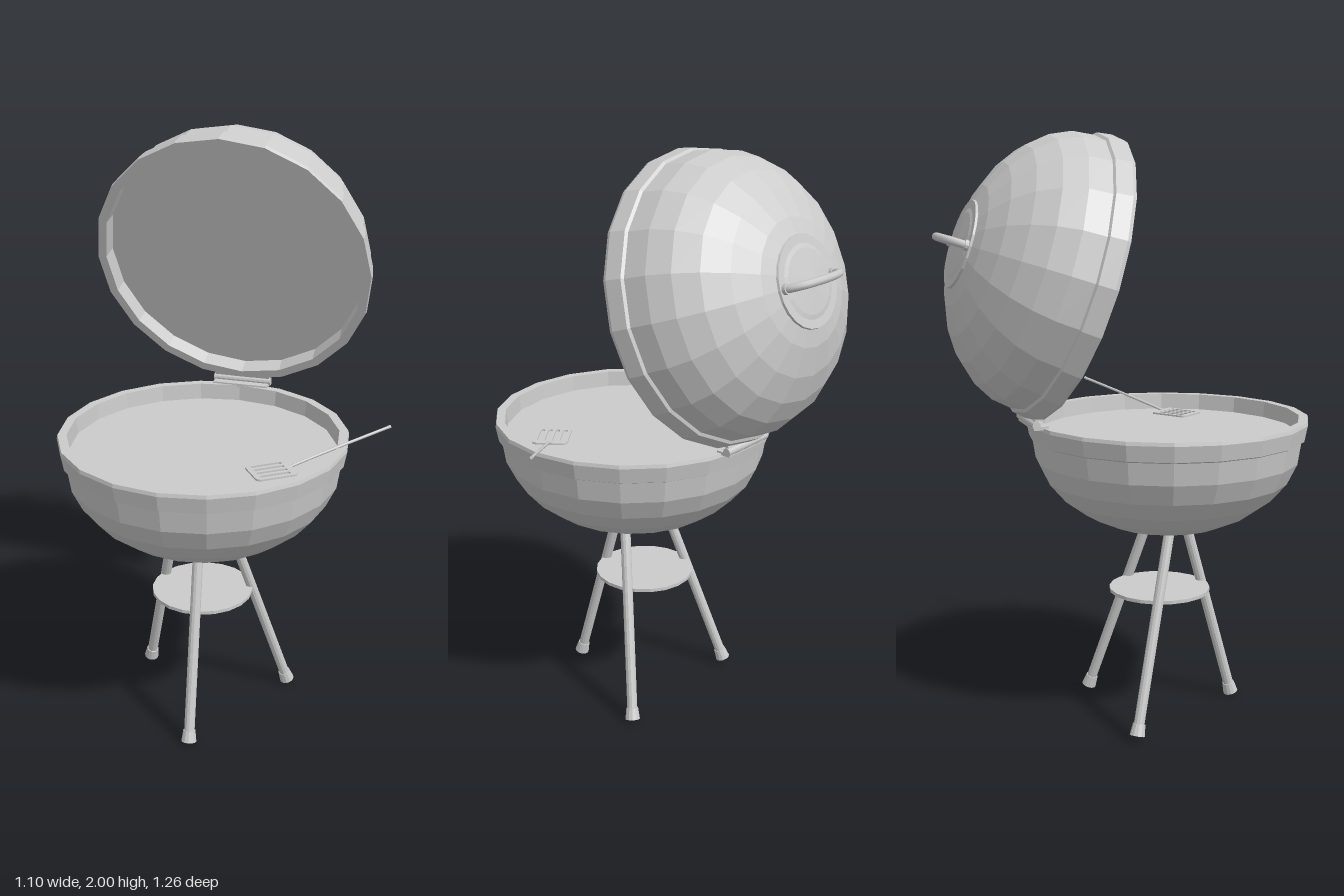
import * as THREE from 'three';

const grey = new THREE.MeshStandardMaterial({ color: 0xcccccc, flatShading: true });
const smooth = new THREE.MeshStandardMaterial({ color: 0xcccccc });
const V = (x, y, z) => new THREE.Vector3(x, y, z);

function part(parent, name, geometry, material = grey) {
  const mesh = new THREE.Mesh(geometry, material);
  mesh.name = name;
  parent.add(mesh);
  return mesh;
}

// Cylinder running between two points
function rod(parent, name, a, b, ra, rb, sides = 12) {
  const mesh = part(parent, name, new THREE.CylinderGeometry(rb, ra, a.distanceTo(b), sides));
  mesh.position.copy(a).lerp(b, 0.5);
  mesh.quaternion.setFromUnitVectors(V(0, 1, 0), b.clone().sub(a).normalize());
  return mesh;
}

// Half shell hanging below its rim, with a stepped band and a recessed inner disc
function shellGeometry() {
  const pts = [];
  const rings = 7;
  for (let i = 0; i <= rings; i++) {
    const a = (i / rings) * Math.PI / 2;
    pts.push(new THREE.Vector2(0.465 * Math.sin(a), -0.07 - 0.335 * Math.cos(a)));
  }
  for (const [r, y] of [[0.475, -0.065], [0.485, -0.012], [0.482, 0], [0.452, 0], [0.447, -0.055], [0, -0.055]]) {
    pts.push(new THREE.Vector2(r, y));
  }
  return new THREE.LatheGeometry(pts, 20);
}

function roundedRect(path, x, y, w, h, r) {
  path.moveTo(x + r, y);
  path.lineTo(x + w - r, y);
  path.absarc(x + w - r, y + r, r, -Math.PI / 2, 0);
  path.lineTo(x + w, y + h - r);
  path.absarc(x + w - r, y + h - r, r, 0, Math.PI / 2);
  path.lineTo(x + r, y + h);
  path.absarc(x + r, y + h - r, r, Math.PI / 2, Math.PI);
  path.lineTo(x, y + r);
  path.absarc(x + r, y + r, r, Math.PI, Math.PI * 1.5);
  return path;
}

function buildLid() {
  const lid = new THREE.Group();
  lid.name = 'lid';
  part(lid, 'lidShell', shellGeometry());
  // Round plate with the carrying handle
  part(lid, 'handlePlate', new THREE.CylinderGeometry(0.15, 0.145, 0.02, 24)).position.y = -0.383;
  const arc = new THREE.CatmullRomCurve3([
    V(-0.122, -0.38, 0), V(-0.12, -0.41, 0), V(-0.09, -0.447, 0), V(0, -0.468, 0),
    V(0.09, -0.447, 0), V(0.12, -0.41, 0), V(0.122, -0.38, 0)]);
  part(lid, 'lidHandle', new THREE.TubeGeometry(arc, 28, 0.013, 8), smooth);
  for (const s of [-1, 1]) {
    rod(lid, 'handleMount', V(s * 0.122, -0.385, 0), V(s * 0.122, -0.405, 0), 0.017, 0.017);
  }
  return lid;
}

function buildSpatula() {
  const spatula = new THREE.Group();
  spatula.name = 'spatula';
  // Slotted blade
  const shape = roundedRect(new THREE.Shape(), -0.072, -0.06, 0.144, 0.12, 0.018);
  for (let i = 0; i < 4; i++) {
    shape.holes.push(roundedRect(new THREE.Path(), -0.055, -0.046 + i * 0.026, 0.105, 0.014, 0.0065));
  }
  const blade = new THREE.ExtrudeGeometry(shape, { depth: 0.006, bevelEnabled: false, curveSegments: 4 });
  part(spatula, 'spatulaBlade', blade.rotateX(-Math.PI / 2));
  // Bent handle
  const curve = new THREE.CatmullRomCurve3([
    V(0.06, 0.004, 0), V(0.085, 0.012, 0), V(0.2, 0.042, 0), V(0.416, 0.095, 0)]);
  part(spatula, 'spatulaHandle', new THREE.TubeGeometry(curve, 20, 0.005, 8), smooth);
  rod(spatula, 'spatulaTip', V(0.406, 0.0925, 0), V(0.417, 0.0953, 0), 0.0055, 0.0055, 8);
  return spatula;
}

export function createModel() {
  const model = new THREE.Group();
  model.name = 'kettleGrill';

  // Bowl, hinge and lid share one turned frame
  const kettle = new THREE.Group();
  kettle.name = 'kettle';
  kettle.position.set(-0.065, 0, 0.145);
  kettle.rotation.y = -0.21;
  model.add(kettle);
  part(kettle, 'bowl', shellGeometry()).position.y = 1.055;

  const lid = buildLid();
  lid.position.set(0, 1.53, -0.337);
  lid.rotation.x = THREE.MathUtils.degToRad(108);
  kettle.add(lid);

  // Hinge
  rod(kettle, 'hingePin', V(-0.105, 1.066, -0.492), V(0.105, 1.066, -0.492), 0.014, 0.014);
  part(kettle, 'hingeLowerPlate', new THREE.BoxGeometry(0.2, 0.012, 0.05)).position.set(0, 1.055, -0.475);
  const upper = part(kettle, 'hingeUpperPlate', new THREE.BoxGeometry(0.2, 0.045, 0.012));
  upper.position.set(0, 1.08, -0.49);
  upper.rotation.x = 0.3;

  // Three splayed legs with feet
  const legs = [
    [V(-0.1, 0.012, 0.405), V(-0.078, 0.67, 0.215)],
    [V(0.225, 0.012, -0.005), V(0.03, 0.67, 0.13)],
    [V(-0.29, 0.025, -0.11), V(-0.175, 0.67, 0.085)]];
  for (const [foot, top] of legs) {
    rod(model, 'leg', foot, top, 0.018, 0.018);
    const dir = top.clone().sub(foot).normalize();
    rod(model, 'foot', foot, foot.clone().addScaledVector(dir, 0.04), 0.026, 0.021);
  }

  // Round shelf between the legs
  part(model, 'shelf', new THREE.CylinderGeometry(0.175, 0.175, 0.012, 20)).position.set(-0.075, 0.448, 0.111);

  const spatula = buildSpatula();
  spatula.position.set(0.168, 1.008, 0.335);
  spatula.rotation.y = 0.42;
  model.add(spatula);
  return model;
}
